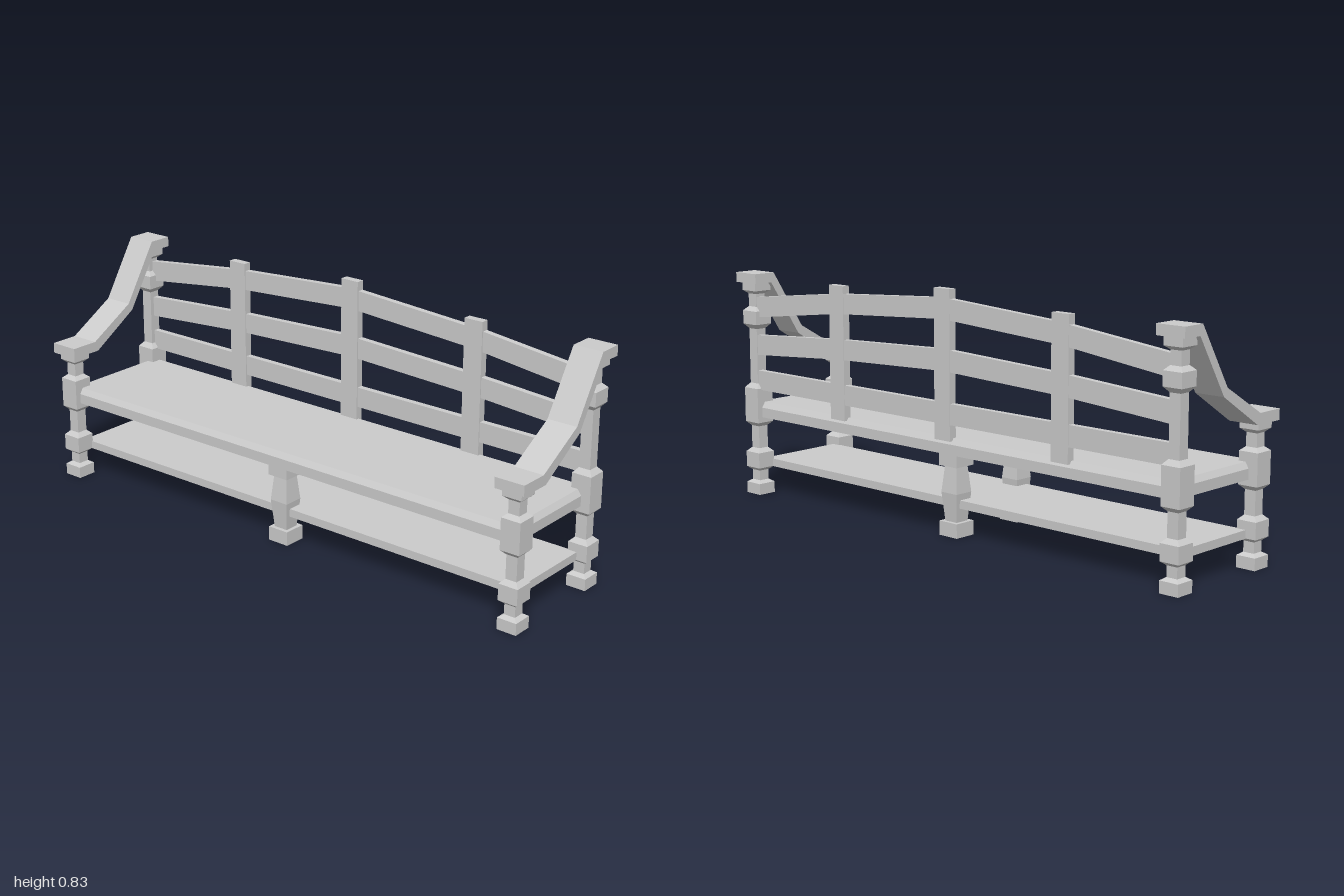
import * as THREE from 'three';

const material = new THREE.MeshStandardMaterial({ color: 0xcccccc, flatShading: true });

export function createModel() {
  const bench = new THREE.Group();
  bench.name = 'bench';

  const add = (name, geometry, x = 0, y = 0, z = 0) => {
    const mesh = new THREE.Mesh(geometry, material);
    mesh.name = name;
    mesh.position.set(x, y, z);
    bench.add(mesh);
    return mesh;
  };

  // Box given by its ranges
  const box = (name, x0, x1, y0, y1, z0, z1) =>
    add(name, new THREE.BoxGeometry(x1 - x0, y1 - y0, z1 - z0),
      (x0 + x1) / 2, (y0 + y1) / 2, (z0 + z1) / 2);

  // Square-section turned piece from [half width, height] pairs
  const squareTurning = (profile) => {
    const top = profile[profile.length - 1][1];
    const points = [[0, 0], ...profile, [0, top]]
      .map(([w, y]) => new THREE.Vector2(w * Math.SQRT2, y));
    return new THREE.LatheGeometry(points, 4).rotateY(Math.PI / 4);
  };

  // Outline in a plane, extruded to a thickness
  const slab = (outline, depth) => new THREE.ExtrudeGeometry(
    new THREE.Shape(outline.map(([a, b]) => new THREE.Vector2(a, b))),
    { depth, bevelEnabled: false });

  // Corner posts: the back ones continue upward from the seat block
  const W = 0.035, N = 0.02;
  const base = [[W, 0], [W, 0.04], [N, 0.05], [N, 0.086], [W, 0.098], [W, 0.154],
    [N, 0.169], [N, 0.25], [W, 0.265]];
  const frontPost = squareTurning([...base, [W, 0.372], [N, 0.385], [N, 0.43], [W, 0.443], [W, 0.468]]);
  const backPost = squareTurning([...base, [W, 0.39], [N, 0.407], [N, 0.605], [W, 0.622], [W, 0.67],
    [N, 0.685], [N, 0.731], [W, 0.743], [W, 0.773]]);

  // Sloping armrest, drawn as z and y
  const arm = slab([[0.245, 0.503], [0.143, 0.503], [-0.03, 0.603], [-0.158, 0.807], [-0.243, 0.807],
    [-0.243, 0.772], [-0.17, 0.772], [-0.047, 0.577], [0.13, 0.467], [0.245, 0.467]], 0.105);
  arm.translate(0, 0, -0.0525).rotateY(-Math.PI / 2);

  for (const [side, s] of [['left', 1], ['right', -1]]) {
    add(side + 'FrontPost', frontPost, s * 0.9475, 0, 0.195);
    add(side + 'BackPost', backPost, s * 0.9475, 0, -0.195);
    add(side + 'Armrest', arm, s * 0.9475);
  }

  // Middle legs with a swelling shaft between square pads
  const middleLeg = squareTurning([[0.04, 0], [0.04, 0.049], [0.026, 0.049], [0.035, 0.147],
    [0.026, 0.238], [0.04, 0.238], [0.04, 0.29]]);
  add('frontMiddleLeg', middleLeg, 0, 0, 0.148);
  add('backMiddleLeg', middleLeg, 0, 0, -0.148);

  // Seat with a bevelled upper edge
  const seat = new THREE.BoxGeometry(1.9, 2, 0.42, 1, 2, 1);
  const p = seat.attributes.position;
  for (let i = 0; i < p.count; i++) {
    const level = Math.round(p.getY(i)) + 1;
    const inset = level === 2 ? 0.013 : 0;
    p.setXYZ(i, p.getX(i) - Math.sign(p.getX(i)) * inset, [0.285, 0.32, 0.34][level],
      p.getZ(i) - Math.sign(p.getZ(i)) * inset);
  }
  seat.computeVertexNormals();
  add('seat', seat);

  // Lower shelf
  box('lowerShelf', -0.945, 0.945, 0.097, 0.125, -0.165, 0.165);

  // Back rails: heights at the middle, the side uprights and the ends
  const rail = (name, tops, bottoms) => {
    const xs = [0, 0.505, 0.945];
    const top = xs.map((x, i) => [x, tops[i]]);
    const bottom = xs.map((x, i) => [x, bottoms[i]]);
    const mirror = (row) => row.slice(1).map(([x, y]) => [-x, y]);
    const outline = [...mirror(bottom).reverse(), ...bottom, ...top.reverse(), ...mirror(top.slice().reverse())];
    add(name, slab(outline, 0.022), 0, 0, -0.212);
  };
  rail('topRail', [0.8, 0.768, 0.718], [0.73, 0.699, 0.645]);
  rail('middleRail', [0.632, 0.611, 0.582], [0.56, 0.541, 0.51]);
  rail('bottomRail', [0.455, 0.455, 0.455], [0.385, 0.385, 0.385]);

  // Back uprights
  for (const [x, top] of [[-0.505, 0.797], [0, 0.83], [0.505, 0.797]]) {
    box('backUpright', x - 0.035, x + 0.035, 0.33, top, -0.214, -0.186);
  }

  return bench;
}
